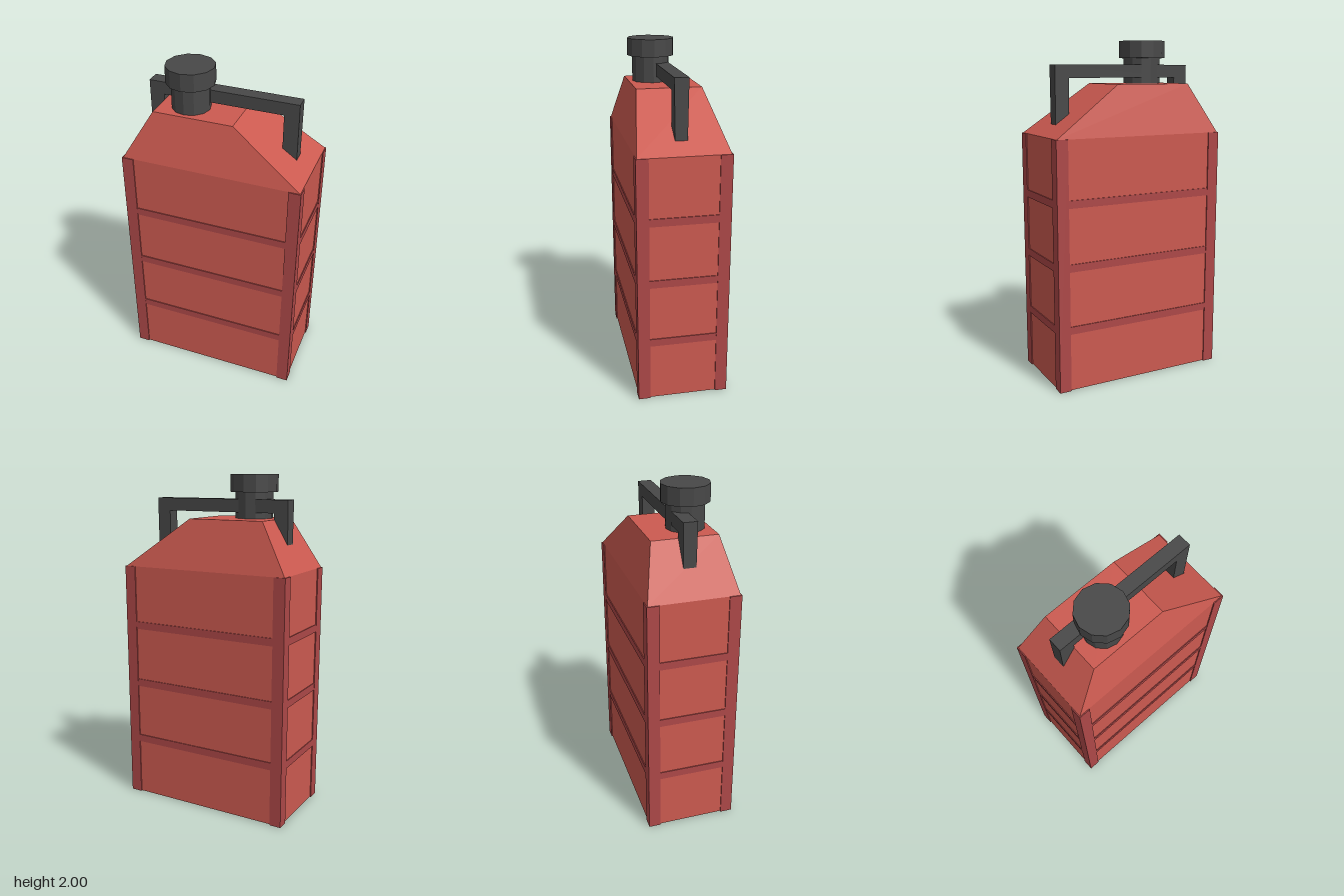
import * as THREE from 'three';

const paint = (color) => new THREE.MeshStandardMaterial({ color, flatShading: true });

export function createModel() {
  const group = new THREE.Group();
  const red = paint(0xcc5a50), darkRed = paint(0xad4848), dark = paint(0x484848);

  const add = (name, geometry, material, x = 0, y = 0, z = 0) => {
    const mesh = new THREE.Mesh(geometry, material);
    mesh.name = name;
    mesh.position.set(x, y, z);
    group.add(mesh);
    return mesh;
  };

  // Half sizes of the frame and of the panels set slightly behind it
  const W = 0.53, D = 0.265, inset = 0.006, H = 1.46;
  const w = W - inset, d = D - inset;

  // Main tank
  add('tank', new THREE.BoxGeometry(2 * w, H - 0.003, 2 * d), red, 0, (H + 0.003) / 2, 0);

  // Sloped shoulder: a box whose top is drawn in to an off-centre rectangle
  const shoulder = new THREE.BoxGeometry(2 * w, 0.29, 2 * d);
  const p = shoulder.attributes.position;
  for (let i = 0; i < p.count; i++) {
    if (p.getY(i) > 0) {
      p.setX(i, p.getX(i) > 0 ? 0.115 : -0.352);
      p.setZ(i, Math.sign(p.getZ(i)) * 0.19);
    }
  }
  shoulder.computeVertexNormals();
  add('shoulder', shoulder, red, 0, H + 0.145, 0);

  // Corner posts
  const post = 0.07;
  for (const sx of [-1, 1]) {
    for (const sz of [-1, 1]) {
      add('cornerPost', new THREE.BoxGeometry(post, H, post), darkRed,
        sx * (W - post / 2), H / 2, sz * (D - post / 2));
    }
  }

  // Horizontal ribs running round the tank between the posts
  for (const y of [0.367, 0.735, 1.1]) {
    for (const s of [-1, 1]) {
      add('longRib', new THREE.BoxGeometry(2 * (W - post), 0.045, 0.04), darkRed,
        0, y, s * (D - 0.021));
      add('sideRib', new THREE.BoxGeometry(0.04, 0.045, 2 * (D - post)), darkRed,
        s * (W - 0.021), y, 0);
    }
  }

  // Carrying handle: an upside-down U, a little narrower towards its feet
  const u = new THREE.Shape([
    [-0.435, 1.5], [-0.35, 1.5], [-0.35, 1.785], [0.35, 1.785],
    [0.35, 1.5], [0.435, 1.5], [0.435, 1.86], [-0.435, 1.86],
  ].map(([x, y]) => new THREE.Vector2(x, y)));
  const handle = new THREE.ExtrudeGeometry(u, { depth: 2, bevelEnabled: false });
  handle.translate(0, 0, -1);
  const hp = handle.attributes.position;
  for (let i = 0; i < hp.count; i++) {
    hp.setZ(i, hp.getZ(i) * (0.04 - (1.86 - hp.getY(i)) * 0.015));
  }
  handle.computeVertexNormals();
  add('handle', handle, dark);

  // Filler neck and cap
  add('neck', new THREE.CylinderGeometry(0.11, 0.11, 0.18, 12), dark, -0.177, 1.82, 0.056);
  add('cap', new THREE.CylinderGeometry(0.139, 0.139, 0.1, 12), dark, -0.177, 1.95, 0.056);

  return group;
}
